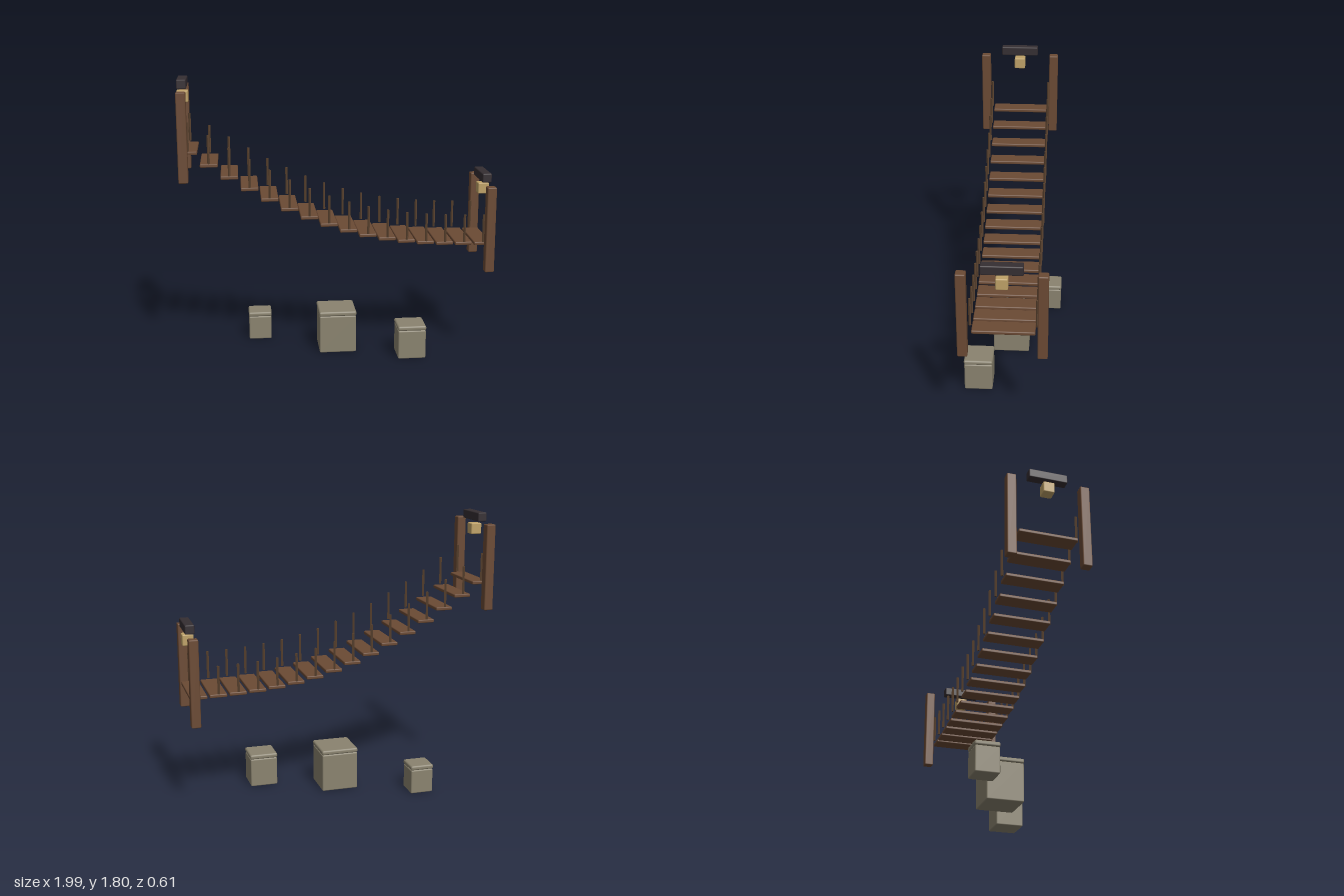
import * as THREE from 'three';
import { RoundedBoxGeometry } from 'three/addons/geometries/RoundedBoxGeometry.js';

const material = (name, color) => {
  const m = new THREE.MeshStandardMaterial({ color });
  m.name = name;
  return m;
};

export function createModel() {
  const wood = material('wood', 0x6b4a34);
  const peg = material('pegWood', 0x5c4430);
  const dark = material('darkBeam', 0x352e32);
  const glow = material('lanternGlow', 0xbfa268);
  const stone = material('stone', 0x8a836f);

  const model = new THREE.Group();
  model.name = 'ropeBridge';

  const add = (name, geometry, mat, x, y, z) => {
    const mesh = new THREE.Mesh(geometry, mat);
    mesh.name = name;
    mesh.position.set(x, y, z);
    model.add(mesh);
  };
  // box with narrow chamfered edges
  const block = (w, h, d, r) => new RoundedBoxGeometry(w, h, d, 1, r);

  // end frames: two posts, a crossbeam and a hanging lantern
  const postGeo = block(0.06, 0.555, 0.06, 0.007);
  const beamGeo = block(0.06, 0.058, 0.246, 0.007);
  const lanternGeo = block(0.072, 0.072, 0.072, 0.007);
  for (const [x, top] of [[-0.96, 1.742], [0.96, 1.12]]) {
    for (const z of [0.26, -0.208]) add('post', postGeo, wood, x, top - 0.2775, z);
    add('crossbeam', beamGeo, dark, x, top + 0.032, 0.026);
    add('lantern', lanternGeo, glow, x, top - 0.053, 0.026);
  }

  // sagging walkway: level planks with a slim peg at each end
  const plankGeo = block(0.11, 0.022, 0.37, 0.006);
  const pegGeo = new THREE.CylinderGeometry(0.008, 0.008, 0.18, 4).toNonIndexed();
  pegGeo.computeVertexNormals();
  const count = 16;
  for (let i = 0; i < count; i++) {
    const t = i / (count - 1);
    const x = -0.93 + 1.86 * t;
    const y = 1.358 + (0.735 - 1.358) * t - 0.186 * Math.sin(Math.PI * t);
    add('plank', plankGeo, wood, x, y, 0.02);
    for (const z of [0.216, -0.173]) add('railPeg', pegGeo, peg, x, y + 0.105, z);
  }

  // stone blocks below, each with a thin cap
  for (const [x, z, size, top] of [
    [-0.5, -0.225, 0.15, 0.19],
    [0, 0.026, 0.24, 0.28],
    [0.465, 0.212, 0.18, 0.22],
  ]) {
    const h = top - 0.03;
    add('stoneBlock', block(size, h, size, 0.008), stone, x, h / 2, z);
    add('stoneCap', block(size + 0.005, 0.03, size + 0.005, 0.011), stone, x, top - 0.015, z);
  }
  return model;
}
